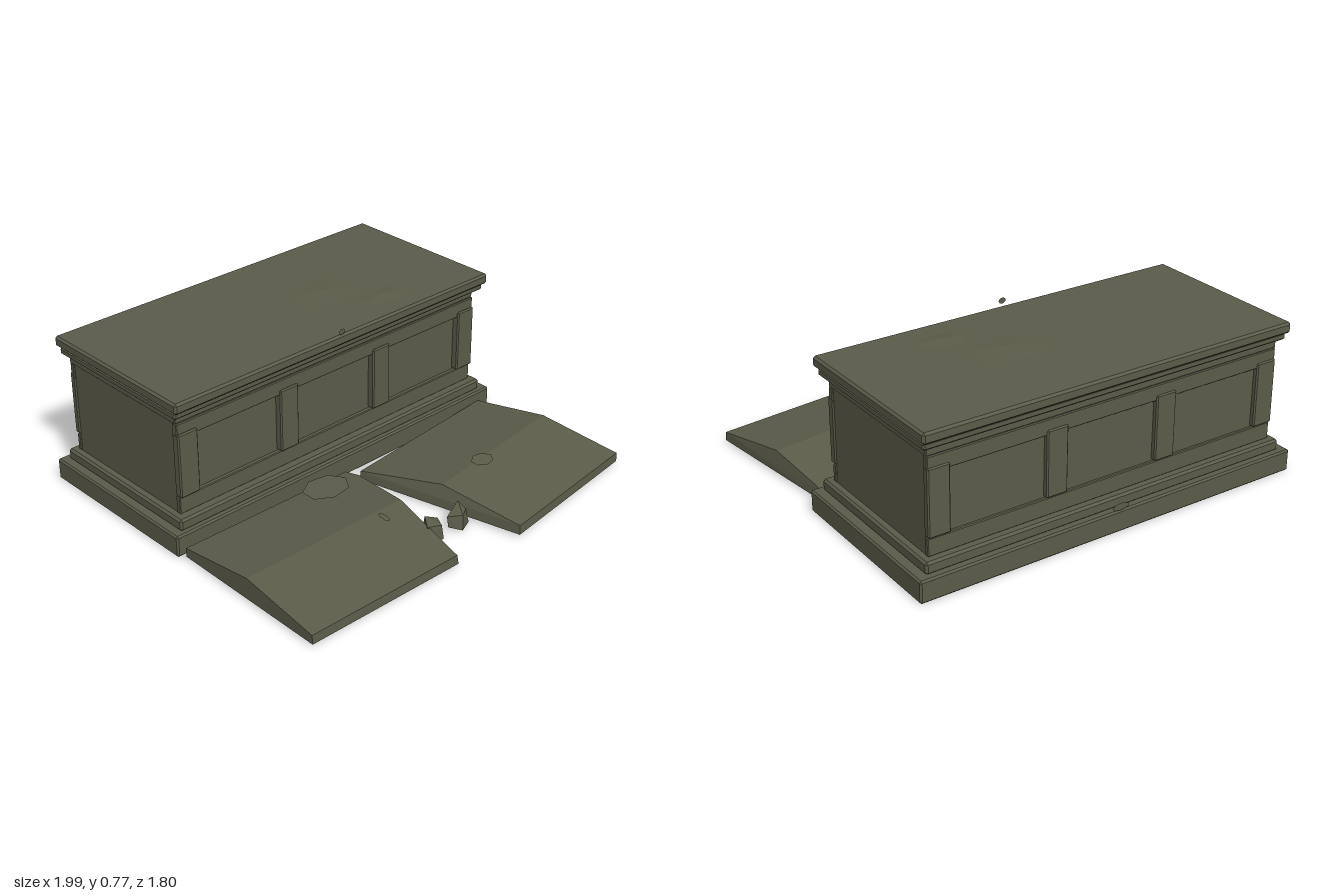
import * as THREE from 'three';
import { ConvexGeometry } from 'three/addons/geometries/ConvexGeometry.js';

const stone = new THREE.MeshStandardMaterial({ color: 0x5c5c4a });
stone.name = 'mossy stone';
const flake = new THREE.MeshStandardMaterial({ color: 0x5c5c4a, side: THREE.DoubleSide });
flake.name = 'stone flake';

export function createModel() {
  const group = new THREE.Group();

  const add = (name, geometry, material = stone) => {
    const mesh = new THREE.Mesh(geometry, material);
    mesh.name = name;
    group.add(mesh);
    return mesh;
  };
  const hull = (name, points) =>
    add(name, new ConvexGeometry(points.map((p) => new THREE.Vector3(...p))));

  // Block between two corners, with all edges chamfered by c
  const block = (name, x0, x1, y0, y1, z0, z1, c = 0.008) => {
    const points = [];
    for (const [x, sx] of [[x0, 1], [x1, -1]])
      for (const [y, sy] of [[y0, 1], [y1, -1]])
        for (const [z, sz] of [[z0, 1], [z1, -1]])
          points.push(
            [x, y + sy * c, z + sz * c],
            [x + sx * c, y, z + sz * c],
            [x + sx * c, y + sy * c, z]);
    return hull(name, points);
  };

  // Hollow plinth: four walls under a cap, open below
  block('plinthWall', -0.996, 0.972, 0.0, 0.105, -0.022, 0.0);
  block('plinthWall', -0.996, 0.972, 0.0, 0.105, -0.897, -0.875);
  block('plinthWall', -0.996, -0.974, 0.0, 0.105, -0.897, 0.0);
  block('plinthWall', 0.95, 0.972, 0.0, 0.105, -0.897, 0.0);
  block('plinthCap', -0.986, 0.962, 0.09, 0.105, -0.887, -0.01, 0.002);

  // Stepped chest and cornice
  block('plinthStep', -0.953, 0.925, 0.1, 0.157, -0.865, -0.025, 0.01);
  block('chest', -0.915, 0.888, 0.15, 0.66, -0.815, -0.088, 0.003);
  block('neckBand', -0.923, 0.894, 0.605, 0.652, -0.83, -0.068, 0.004);
  block('cornice', -0.95, 0.923, 0.648, 0.683, -0.86, -0.03, 0.008);
  block('lid', -0.96, 0.935, 0.683, 0.735, -0.88, -0.008, 0.01);

  // Rails and posts framing three panels on both long faces
  const faces = [
    { side: 'front', at: (d) => [-0.095, -0.088 + d] },
    { side: 'back', at: (d) => [-0.815 - d * 0.7, -0.805] },
  ];
  for (const { side, at } of faces) {
    block(side + 'LowerRail', -0.92, 0.893, 0.157, 0.24, ...at(0.02), 0.004);
    block(side + 'UpperRail', -0.92, 0.893, 0.53, 0.605, ...at(0.026), 0.004);
    for (const x of [-0.921, -0.352, 0.217, 0.788])
      block(side + 'Post', x, x + 0.106, 0.243, 0.555, ...at(0.035), 0.006);
  }

  // Two halves of the broken cover slab: back edge, ridge and front edge
  const slab = (name, bottom, top) =>
    hull(name, [...bottom.map(([x, z]) => [x, 0.012, z]), ...top]);
  slab('brokenSlabRight',
    [[-0.973, 0.027], [-0.05, 0.04], [-0.035, 0.13], [-0.16, 0.863], [-0.985, 0.848]],
    [[-0.973, 0.055, 0.027], [-0.05, 0.055, 0.04], [-0.04, 0.068, 0.12],
      [-0.979, 0.116, 0.44], [-0.1, 0.116, 0.45],
      [-0.985, 0.055, 0.845], [-0.165, 0.055, 0.858]]);
  slab('brokenSlabLeft',
    [[0.0, 0.085], [0.9, 0.0], [0.997, 0.797], [0.195, 0.897]],
    [[0.005, 0.055, 0.085], [0.895, 0.055, 0.0], [0.125, 0.116, 0.49],
      [0.935, 0.116, 0.39], [0.997, 0.055, 0.795], [0.2, 0.055, 0.892]]);

  // Rubble lying between the halves
  hull('rubble', [
    [-0.15, 0.03, 0.67], [-0.12, 0.01, 0.6], [-0.025, 0.02, 0.61], [-0.07, 0.01, 0.69],
    [-0.145, 0.09, 0.66], [-0.1, 0.1, 0.6], [-0.04, 0.075, 0.62], [-0.08, 0.085, 0.685]]);
  hull('rubble', [
    [0.0, 0.02, 0.65], [0.04, 0.01, 0.7], [0.11, 0.01, 0.67], [0.105, 0.015, 0.6],
    [0.0, 0.07, 0.64], [0.05, 0.08, 0.69], [0.11, 0.09, 0.6], [0.11, 0.07, 0.65]]);

  // Low worn swellings on the lid
  const swelling = (x, z, rx, rz, h) => {
    const mesh = add('wornPatch', new THREE.ConeGeometry(1, 1, 7));
    mesh.scale.set(rx, h, rz);
    mesh.position.set(x, 0.734 + h / 2, z);
  };
  swelling(0.22, -0.4, 0.22, 0.15, 0.01);
  swelling(0.4, -0.18, 0.15, 0.08, 0.01);

  // Thin loose flakes
  const chip = (name, x, y, z, rx, rz, tilt) => {
    const mesh = add(name, new THREE.CircleGeometry(1, 7), flake);
    mesh.scale.set(rx, rz, 1);
    mesh.rotation.x = tilt;
    mesh.position.set(x, y, z);
  };
  chip('slabFlake', -0.28, 0.125, 0.16, 0.12, 0.09, -Math.PI / 2);
  chip('slabFlake', 0.41, 0.121, 0.47, 0.06, 0.045, -Math.PI / 2 + 0.1);
  chip('slabFlake', -0.25, 0.115, 0.5, 0.015, 0.035, -Math.PI / 2 + 0.14);
  chip('plinthFlake', -0.02, 0.125, -0.899, 0.045, 0.018, 0);
  chip('lidFlake', -0.03, 0.755, -0.003, 0.02, 0.015, 0);

  return group;
}
